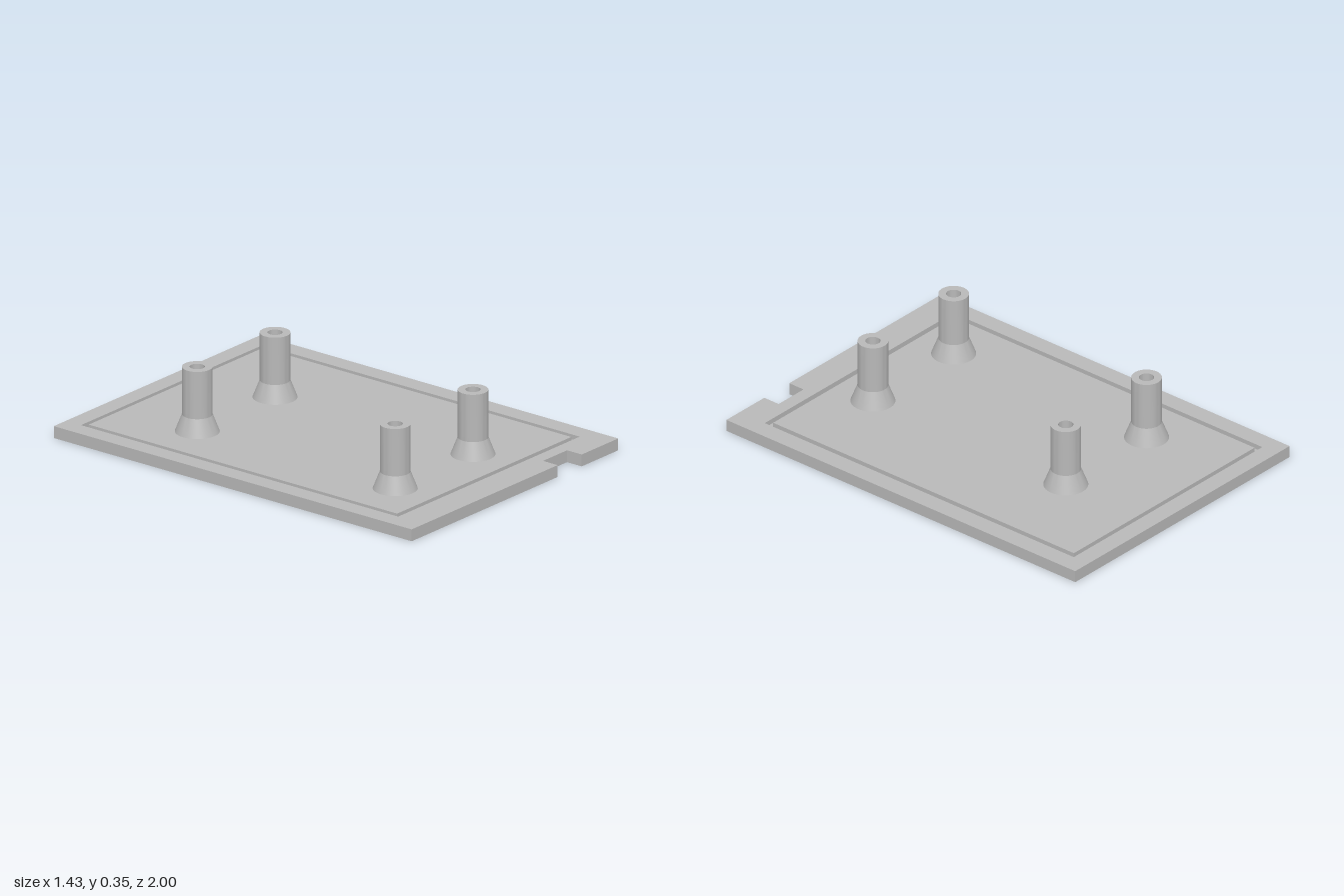
import * as THREE from 'three';
import { toCreasedNormals } from 'three/addons/utils/BufferGeometryUtils.js';

const PLATE_TOP = 0.055, GROOVE_FLOOR = 0.032;
const HALF_X = 0.713, HALF_Z = 1;

// Corner points of a rectangle, given as x and z ranges
const rect = (x0, x1, z0, z1) => [[x0, z1], [x1, z1], [x1, z0], [x0, z0]];
const toPoints = (corners) => corners.map(([x, z]) => new THREE.Vector2(x, -z));

// Extrudes an outline in the ground plane from y0 up to y1
function slab(name, material, corners, y0, y1, hole) {
  const shape = new THREE.Shape(toPoints(corners));
  if (hole) shape.holes.push(new THREE.Path(toPoints(hole)));
  const geometry = new THREE.ExtrudeGeometry(shape, { depth: y1 - y0, bevelEnabled: false });
  geometry.rotateX(-Math.PI / 2).translate(0, y0, 0);
  const mesh = new THREE.Mesh(geometry, material);
  mesh.name = name;
  return mesh;
}

export function createModel() {
  const grey = new THREE.MeshStandardMaterial({ color: 0xb8b8b8 });
  grey.name = 'plain grey';

  const model = new THREE.Group();
  model.name = 'mountingPlate';

  // Plate outline with the cable notch in the front edge
  const outline = [
    [-HALF_X, HALF_Z], [0.295, HALF_Z], [0.295, 0.918], [0.461, 0.918],
    [0.461, HALF_Z], [HALF_X, HALF_Z], [HALF_X, -HALF_Z], [-HALF_X, -HALF_Z],
  ];
  const grooveOuter = rect(-0.629, 0.625, -0.916, 0.856);
  const grooveInner = rect(-0.603, 0.599, -0.894, 0.83);

  // Base, then rim and centre panel with the seal groove left between them
  model.add(
    slab('plateBase', grey, outline, 0, GROOVE_FLOOR),
    slab('plateRim', grey, outline, GROOVE_FLOOR, PLATE_TOP, grooveOuter),
    slab('centrePanel', grey, grooveInner, GROOVE_FLOOR, PLATE_TOP),
  );

  // Standoffs: flared foot, straight shaft, hollow bore
  const profile = [
    [0.098, PLATE_TOP], [0.067, 0.135], [0.067, 0.355],
    [0.033, 0.355], [0.033, PLATE_TOP + 0.002], [0, PLATE_TOP + 0.002],
  ].map(([r, y]) => new THREE.Vector2(r, y));
  const standoff = toCreasedNormals(new THREE.LatheGeometry(profile, 48), 0.3);

  for (const [side, x] of [['Right', -0.367], ['Left', 0.17]]) {
    for (const [end, z] of [['back', -0.478], ['front', 0.628]]) {
      const mesh = new THREE.Mesh(standoff, grey);
      mesh.name = `${end}${side}Standoff`;
      mesh.position.set(x, 0, z);
      model.add(mesh);
    }
  }
  return model;
}
